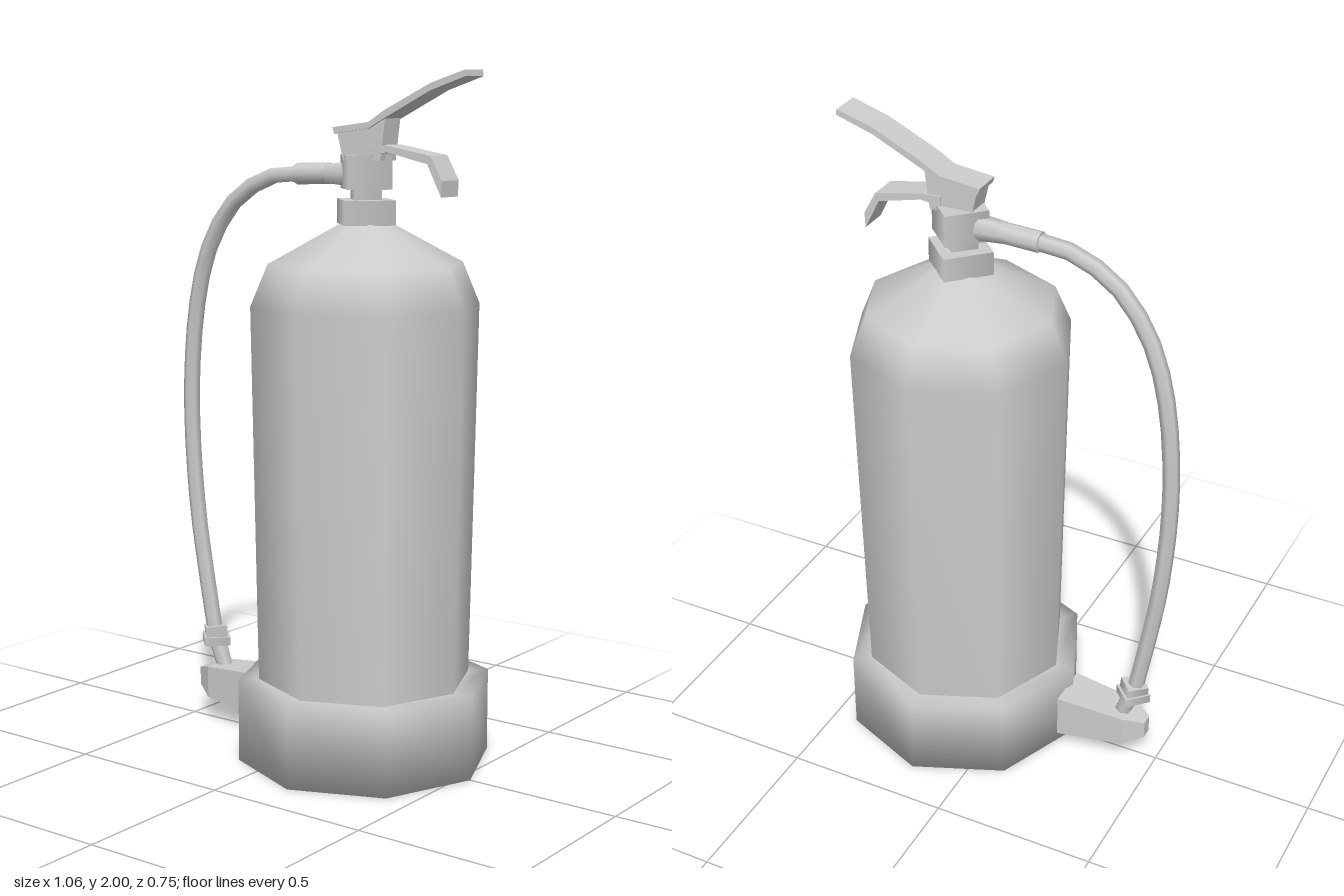
import * as THREE from 'three';
import { ConvexGeometry } from 'three/addons/geometries/ConvexGeometry.js';

const AXIS_X = 0.16; // the tank stands off centre to leave room for the hose

export function createModel() {
  const group = new THREE.Group();
  const grey = new THREE.MeshStandardMaterial({ color: 0xcccccc });
  grey.name = 'light grey';

  const add = (name, geometry) => {
    const mesh = new THREE.Mesh(geometry, grey);
    mesh.name = name;
    group.add(mesh);
    return mesh;
  };
  const v3 = (p) => new THREE.Vector3(...p);

  // Turned part around the tank axis, profile given as [radius, y] from the bottom up
  const turned = (name, profile, sides) => {
    const points = profile.map(([r, y]) => new THREE.Vector2(r, y));
    add(name, new THREE.LatheGeometry(points, sides)).position.x = AXIS_X;
  };

  // Straight rod between two points
  const rod = (name, from, to, r0, r1, sides) => {
    const a = v3(from), b = v3(to), dir = b.clone().sub(a);
    const mesh = add(name, new THREE.CylinderGeometry(r1, r0, dir.length(), sides));
    mesh.position.copy(a).add(b).multiplyScalar(0.5);
    mesh.quaternion.setFromUnitVectors(new THREE.Vector3(0, 1, 0), dir.normalize());
  };

  // Side profile extruded across z, swung slightly towards the back at its far end
  const plate = (name, outline, width) => {
    const shape = new THREE.Shape(outline.map(([x, y]) => new THREE.Vector2(x, y)));
    const geo = new THREE.ExtrudeGeometry(shape, { depth: width, bevelEnabled: false });
    geo.translate(0, 0, -width / 2);
    const pos = geo.attributes.position;
    for (let i = 0; i < pos.count; i++) {
      pos.setZ(i, pos.getZ(i) + 0.008 - 0.048 * (pos.getX(i) - 0.08));
    }
    geo.computeVertexNormals();
    add(name, geo);
  };

  // Tank and its foot
  turned('foot', [[0, 0], [0.373, 0], [0.373, 0.245], [0.3, 0.245]], 8);
  turned('tank', [[0.312, 0.2], [0.332, 1.34], [0.282, 1.46], [0.07, 1.575], [0, 1.575]], 8);

  // Square valve stack
  const valve = [
    ['collar', 0.103, 1.57, 1.64],
    ['neck', 0.055, 1.62, 1.7],
    ['valveHead', 0.09, 1.67, 1.765],
  ];
  for (const [name, r, y0, y1] of valve) {
    rod(name, [AXIS_X, y0, 0], [AXIS_X, y1, 0], r, r, 4);
  }

  // Handles
  plate('handleBlock', [[0.11, 1.75], [0.235, 1.75], [0.25, 1.87], [0.2, 1.85], [0.09, 1.832]], 0.075);
  plate('topLever', [
    [0.085, 1.825], [0.2, 1.84], [0.25, 1.868], [0.4, 1.945], [0.51, 1.983],
    [0.507, 2], [0.4, 1.965], [0.25, 1.89], [0.2, 1.858], [0.08, 1.842],
  ], 0.09);
  plate('lowerGrip', [
    [0.2, 1.765], [0.26, 1.775], [0.39, 1.745], [0.435, 1.655],
    [0.437, 1.7], [0.4, 1.768], [0.25, 1.795], [0.2, 1.795],
  ], 0.085);

  // Hose with its fittings
  const path = [
    [0, 1.708, -0.004], [-0.1, 1.705, -0.004], [-0.2, 1.692, -0.004], [-0.33, 1.615, -0.004],
    [-0.425, 1.48, -0.006], [-0.477, 1.32, -0.01], [-0.505, 1.1, -0.012], [-0.508, 0.9, -0.014],
    [-0.49, 0.65, -0.016], [-0.46, 0.45, -0.018], [-0.427, 0.26, -0.02],
  ].map(v3);
  add('hose', new THREE.TubeGeometry(new THREE.CatmullRomCurve3(path), 20, 0.025, 6));
  rod('hoseSleeve', [-0.09, 1.706, -0.004], [0.03, 1.71, -0.004], 0.031, 0.031, 8);
  rod('hoseNut', [0.02, 1.71, -0.004], [0.1, 1.71, -0.004], 0.031, 0.038, 6);
  rod('nozzleRing', [-0.424, 0.255, -0.02], [-0.428, 0.292, -0.02], 0.046, 0.046, 4);
  rod('nozzleRingLower', [-0.424, 0.235, -0.02], [-0.424, 0.262, -0.02], 0.056, 0.056, 4);
  rod('nozzle', [-0.425, 0.26, -0.02], [-0.345, 0.05, -0.015], 0.028, 0.022, 6);

  // Tapered nozzle holder on the foot: [x, y0, y1, z0, z1]
  const corners = [];
  const sections = [
    [-0.2, 0.052, 0.19, -0.086, 0.055],
    [-0.41, 0.076, 0.174, -0.068, 0.04],
    [-0.47, 0.1, 0.155, -0.032, 0.005],
  ];
  for (const [x, y0, y1, z0, z1] of sections) {
    for (const y of [y0, y1]) for (const z of [z0, z1]) corners.push(v3([x, y, z]));
  }
  add('nozzleHolder', new ConvexGeometry(corners));

  return group;
}
